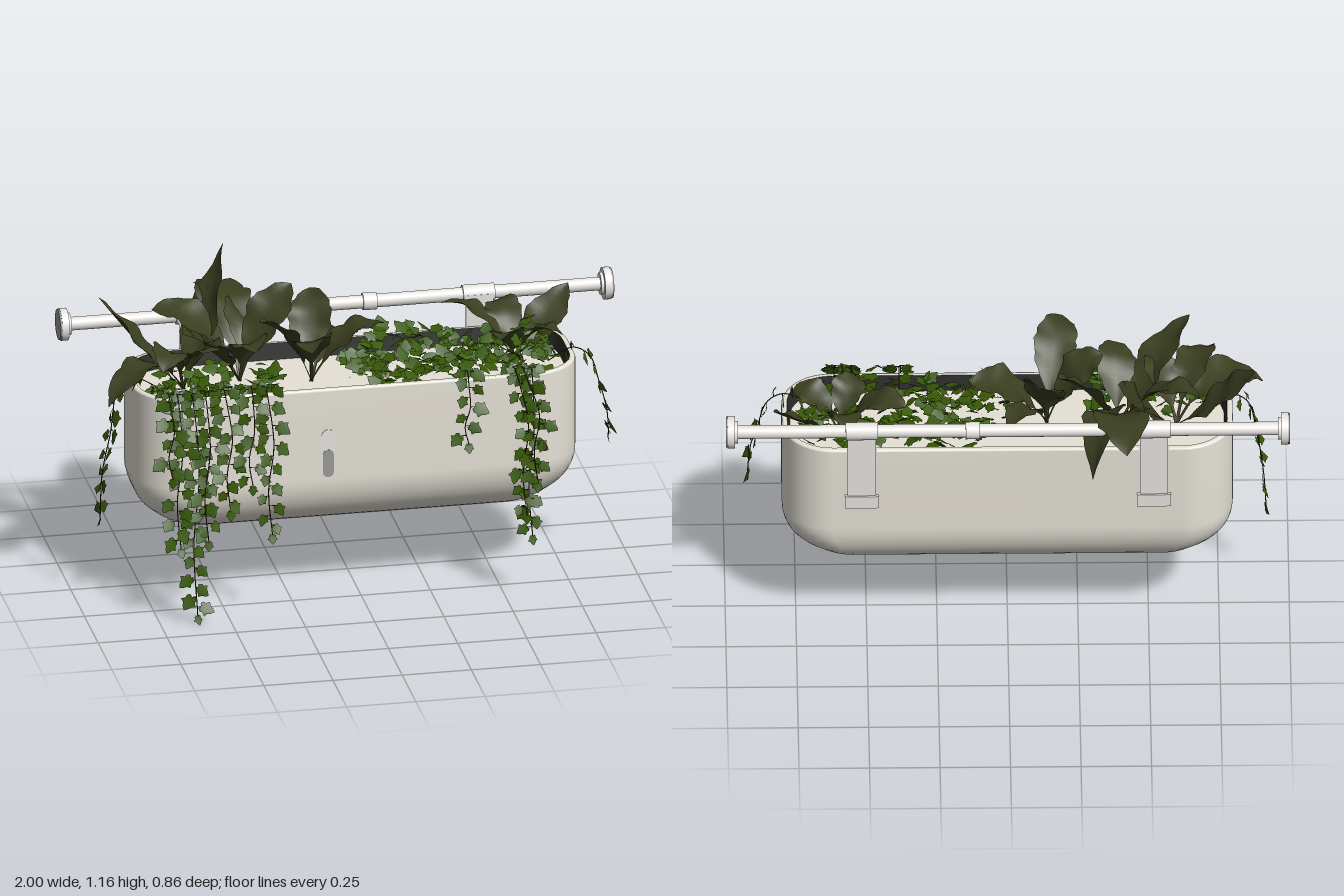
import * as THREE from 'three';
import { mergeGeometries } from 'three/addons/utils/BufferGeometryUtils.js';

const V = (x, y, z) => new THREE.Vector3(x, y, z);
const material = (name, color, side = THREE.FrontSide) => {
  const m = new THREE.MeshStandardMaterial({ color, side });
  m.name = name;
  return m;
};

// Small seeded generator
let seed = 11;
const rand = (a = 0, b = 1) => {
  seed = (seed * 16807) % 2147483647;
  return a + (b - a) * seed / 2147483647;
};

// Indexed grid from rows of points; closed grids wrap around
function grid(rows, closed) {
  const n = rows[0].length, pos = [], idx = [];
  rows.forEach(row => row.forEach(p => pos.push(p.x, p.y, p.z)));
  for (let j = 0; j < rows.length - 1; j++)
    for (let i = 0; i < (closed ? n : n - 1); i++) {
      const a = j * n + i, b = j * n + (i + 1) % n;
      idx.push(a, a + n, b, b, a + n, b + n);
    }
  const g = new THREE.BufferGeometry();
  g.setAttribute('position', new THREE.Float32BufferAttribute(pos, 3));
  g.setIndex(idx);
  g.computeVertexNormals();
  return g;
}

// Rounded rectangle of the planter at one height
function ring(hx, hz, y, radius = 0.18) {
  const r = Math.min(radius, hz, hx), pts = [];
  for (let q = 0; q < 4; q++) {
    const sx = q === 0 || q === 3 ? 1 : -1, sz = q < 2 ? 1 : -1;
    for (let k = 0; k <= 10; k++) {
      const a = (q + k / 10) * Math.PI / 2;
      pts.push(V(sx * (hx - r) + r * Math.cos(a), y, 0.04 + sz * (hz - r) + r * Math.sin(a)));
    }
  }
  return pts;
}

// Arching, pointed leaf with a folded midrib and wavy edge, rolled about its length
function broadLeaf(base, tip, lift, half, roll) {
  const ctrl = base.clone().lerp(tip, 0.45).setY(lift);
  const curve = new THREE.QuadraticBezierCurve3(base, ctrl, tip), rows = [];
  const flat = V(tip.x - base.x, 0, tip.z - base.z).normalize();
  const level = V(-flat.z, 0, flat.x), phase = rand(0, 6);
  for (let j = 0; j <= 18; j++) {
    const t = j / 18, p = curve.getPoint(t), tangent = curve.getTangent(t);
    const side = level.clone().applyAxisAngle(tangent, roll * t);
    const normal = side.clone().cross(tangent);
    const s = Math.max(0, (t - 0.18) / 0.82);
    const w = Math.max(t < 1 ? 0.006 : 0.001, half * Math.pow(Math.sin(Math.PI * Math.pow(s, 0.95)), 0.75) || 0);
    rows.push([-1, -0.5, 0, 0.5, 1].map(u => p.clone()
      .addScaledVector(side, u * w * (1 + 0.06 * Math.sin(j * 2.3 + phase)))
      .addScaledVector(normal, Math.abs(u) * w * 0.2 + u * u * w * 0.12 * Math.sin(j * 1.1 + phase + u))));
  }
  return grid(rows, false);
}

// Lobed ivy leaf, stalk at the origin and tip along +y
const half = [[0.2, -0.1], [0.36, 0.06], [0.34, 0.24], [0.54, 0.46], [0.32, 0.58], [0.2, 0.8]];
const ivyShape = new THREE.Shape([[0, 0], ...half, [0, 1], ...half.map(([x, y]) => [-x, y]).reverse()]
  .map(([x, y]) => new THREE.Vector2(x, y)));
const ivyBase = new THREE.ShapeGeometry(ivyShape);
for (let i = 0, p = ivyBase.attributes.position; i < p.count; i++) p.setZ(i, -0.2 * Math.abs(p.getX(i)));
ivyBase.computeVertexNormals();

function ivyLeaf(at, normal, along, size) {
  const n = normal.clone().normalize(), x = along.clone().cross(n).normalize();
  const y = n.clone().cross(x);
  const m = new THREE.Matrix4().makeBasis(x, y, n).scale(V(size, size, size)).setPosition(at);
  return ivyBase.clone().applyMatrix4(m);
}

export function createModel() {
  const model = new THREE.Group();
  const pot = material('warm white', 0xe6e2d7);
  const liner = material('dark liner', 0x2b2b29);
  const metal = material('rail white', 0xe8e5e1);
  const grey = material('grey pad', 0x9a9a9a);
  const leafGreen = material('olive leaf', 0x3b3f20, THREE.DoubleSide);
  const ivyGreen = material('ivy green', 0x385a06, THREE.DoubleSide);
  const bark = material('brown stem', 0x3c2b1c);
  const add = (name, geo, mat, parent = model) => {
    const mesh = new THREE.Mesh(geo, mat);
    mesh.name = name;
    parent.add(mesh);
    return mesh;
  };

  // Planter shell: closed bottom, rounded underside, straight wall and soft rim
  const outer = [ring(0.001, 0.001, 0.27), ring(0.4, 0.02, 0.27)];
  for (let k = 0; k <= 12; k++) {
    const a = k / 12 * Math.PI / 2;
    outer.push(ring(0.57 + 0.23 * Math.sin(a), 0.04 + 0.2 * Math.sin(a), 0.27 + 0.21 * (1 - Math.cos(a))));
  }
  outer.push(ring(0.8, 0.24, 0.65), ring(0.8, 0.24, 0.812), ring(0.798, 0.238, 0.818), ring(0.793, 0.233, 0.82));
  add('planterShell', grid(outer, true), pot);
  add('planterRim', grid([ring(0.793, 0.233, 0.82), ring(0.78, 0.22, 0.82, 0.16)], true), pot);
  add('innerLiner', grid([ring(0.78, 0.22, 0.82, 0.16), ring(0.77, 0.21, 0.76, 0.15)], true), liner);
  add('innerTray', grid([ring(0.77, 0.21, 0.76, 0.15), ring(0.001, 0.001, 0.76)], true), pot);

  // Water gauge on the front
  const pill = (w, h, depth) => {
    const r = w / 2, s = new THREE.Shape();
    s.absarc(0, h / 2 - r, r, 0, Math.PI);
    s.absarc(0, r - h / 2, r, Math.PI, Math.PI * 2);
    return new THREE.ExtrudeGeometry(s, { depth, bevelEnabled: false, curveSegments: 12 });
  };
  add('gaugeFrame', pill(0.048, 0.185, 0.003), metal).position.set(-0.125, 0.575, 0.279);
  add('gaugeWindow', pill(0.04, 0.105, 0.002), grey).position.set(-0.125, 0.538, 0.281);

  // Rail with end pads, collar and two hanging brackets
  const rail = new THREE.Group();
  rail.name = 'rail';
  rail.position.set(0, 0.93, -0.235);
  model.add(rail);
  const rod = (name, r, length, x, mat = metal) => {
    const g = new THREE.CylinderGeometry(r, r, length, 32).rotateZ(Math.PI / 2);
    add(name, g, mat, rail).position.x = x;
  };
  rod('railTube', 0.024, 1.94, 0);
  rod('railCollar', 0.031, 0.05, 0.125);
  for (const s of [-1, 1]) {
    rod('endCap', 0.058, 0.026, s * 0.981);
    rod('endCapNeck', 0.04, 0.012, s * 0.963);
    rod('endPad', 0.055, 0.006, s * 0.997, grey);
    rod('bracketClip', 0.032, 0.115, s * 0.518);
    add('bracketStrap', new THREE.BoxGeometry(0.1, 0.34, 0.005), metal).position.set(s * 0.518, 0.765, -0.205);
    add('bracketFoot', new THREE.BoxGeometry(0.12, 0.05, 0.016), metal).position.set(s * 0.518, 0.605, -0.206);
  }

  // Broad-leaved plants: base x, z, then leaves as tip x, y, z, lift, half width, roll
  const plants = [
    [-0.6, 0.03, [[-0.88, 1.08, -0.1, 0.88, 0.085, 0.4], [-0.91, 0.8, 0.24, 1.02, 0.08, 0.2],
      [-0.72, 0.93, 0.27, 1.05, 0.07, -0.3], [-0.39, 1.17, -0.3, 0.9, 0.085, -0.95], [-0.5, 0.96, 0.18, 0.98, 0.07, 0.3]]],
    [-0.39, 0, [[-0.42, 0.96, -0.44, 1.09, 0.1, 0.15], [-0.3, 0.78, -0.33, 1.12, 0.08, 0.8],
      [-0.18, 1.07, -0.12, 1.0, 0.085, 0.3], [-0.65, 1.07, 0.27, 0.98, 0.08, -0.4], [-0.38, 0.97, 0.25, 1.02, 0.07, 0.3],
      [-0.68, 1.0, -0.14, 1.06, 0.08, -0.3]]],
    [-0.14, 0.05, [[-0.2, 1.0, 0.37, 1.06, 0.075, 0.3], [0.13, 0.95, 0.02, 0.98, 0.09, -0.2],
      [-0.11, 1.04, -0.14, 1.0, 0.08, -0.4], [-0.34, 1.02, 0.1, 1.0, 0.08, 0.3], [0.0, 0.87, -0.14, 0.95, 0.06, 0.2]]],
    [0.6, 0, [[0.83, 0.97, -0.17, 0.84, 0.075, 0.3], [0.76, 0.88, 0.09, 0.95, 0.06, -0.3],
      [0.36, 0.95, -0.12, 1.0, 0.065, 0.3], [0.57, 0.91, -0.2, 0.97, 0.065, -0.3], [0.53, 0.9, 0.14, 0.95, 0.06, 0.3]]],
  ];
  for (const [x, z, leaves] of plants)
    add('broadLeafPlant', mergeGeometries(leaves.map(([tx, ty, tz, lift, w, roll]) =>
      broadLeaf(V(x, 0.76, z), V(tx, ty, tz), lift, w, roll))), leafGreen);

  // Ivy covering the tray
  const cover = [];
  const scatter = (count, x0, x1, z0, z1) => {
    for (let i = 0; i < count; i++)
      cover.push(ivyLeaf(V(rand(x0, x1), rand(0.78, 0.875), rand(z0, z1)),
        V(rand(-0.8, 0.8), 1, rand(-0.6, 1)), V(rand(-1, 1), 0.1, rand(-1, 1)), rand(0.04, 0.065)));
  };
  scatter(215, 0, 0.74, -0.15, 0.23);
  scatter(75, -0.74, -0.3, 0.06, 0.25);
  add('ivyCover', mergeGeometries(cover), ivyGreen);

  // Trailing ivy: start x, z, outward x, z, lowest y, sideways drift, leaf spread
  const vines = [
    [-0.62, 0.24, 0, 1, 0.04, 0.0, 0.014], [-0.67, 0.24, 0, 1, 0.3, -0.01, 0.02], [-0.57, 0.24, 0, 1, 0.32, -0.01, 0.02],
    [-0.5, 0.24, 0, 1, 0.43, 0.0, 0.02], [-0.7, 0.24, 0, 1, 0.57, -0.01, 0.02], [-0.35, 0.24, 0, 1, 0.33, 0.0, 0.022],
    [-0.4, 0.24, 0, 1, 0.52, -0.02, 0.02], [0.38, 0.24, 0, 1, 0.62, -0.02, 0.018], [0.61, 0.24, 0, 1, 0.25, -0.02, 0.014],
    [0.55, 0.24, 0, 1, 0.33, 0.02, 0.018], [0.58, 0.24, 0, 1, 0.45, 0.03, 0.02],
    [-0.76, 0.1, -1, 0, 0.33, 0.03, 0.03], [0.76, 0.12, 1, 0, 0.5, 0.0, 0.035],
  ];
  const trail = [], stems = [];
  for (const [x, z, ox, oz, low, drift, spread] of vines) {
    const out = V(ox, 0, oz), across = V(oz, 0, -ox);
    const at = (o, y, d) => V(x, y, z).addScaledVector(out, o).addScaledVector(across, d);
    const drop = 0.8 - low;
    const curve = new THREE.CatmullRomCurve3([at(-0.06, 0.8, 0), at(0.03, 0.845, 0), at(0.09, 0.81, drift * 0.3),
      at(0.125, 0.8 - drop * 0.3, drift + 0.012), at(0.15, 0.8 - drop * 0.65, drift - 0.012), at(0.16, low, drift)]);
    stems.push(new THREE.TubeGeometry(curve, 30, 0.002, 5));
    const n = Math.round(curve.getLength() / 0.036);
    for (let i = 1; i <= n; i++) {
      const last = i === n, s = last ? 0 : i % 2 ? 1 : -1;
      const normal = out.clone().addScaledVector(across, rand(-0.5, 0.5)).add(V(0, rand(0, 0.6), 0));
      const along = across.clone().multiplyScalar(s * rand(0.2, 1.4)).add(V(0, -0.8, 0));
      const node = curve.getPointAt(i / n);
      const p = node.clone().addScaledVector(across, s * spread * rand(0.5, 1.3));
      if (!last) stems.push(new THREE.TubeGeometry(new THREE.LineCurve3(node, p), 1, 0.0014, 4));
      trail.push(ivyLeaf(p, normal, along, last ? 0.035 : rand(0.038, 0.058)));
    }
  }
  add('trailingIvyLeaves', mergeGeometries(trail), ivyGreen);
  add('trailingIvyStems', mergeGeometries(stems), bark);
  return model;
}
